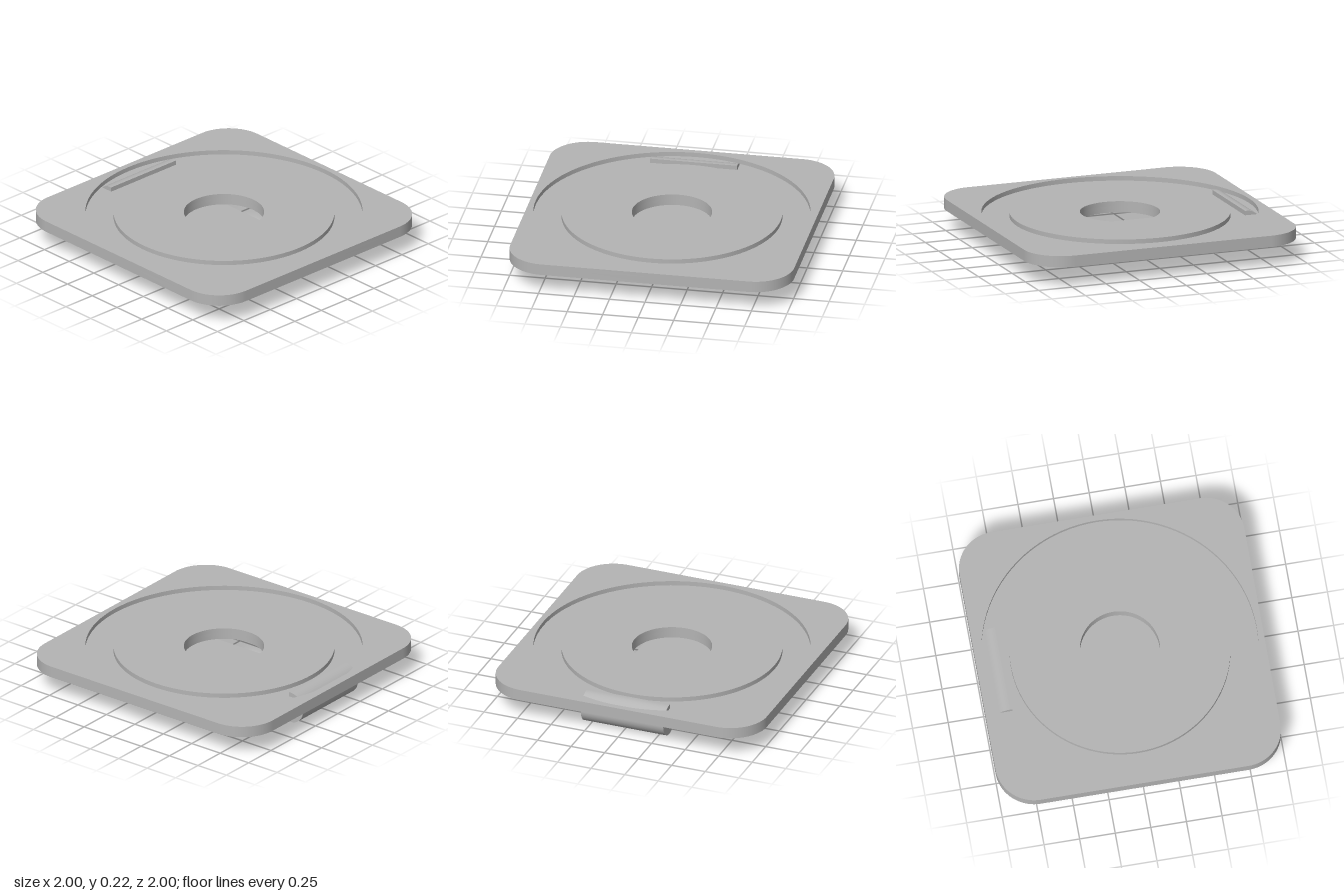
import * as THREE from 'three';
import { toCreasedNormals } from 'three/addons/utils/BufferGeometryUtils.js';

const HOLE_R = 0.278, DISC_R = 0.765, GROOVE_R = 0.96;
const BOTTOM = 0.144, FLOOR = 0.192, TOP = 0.224;

function extrude(shape, depth) {
  const geo = new THREE.ExtrudeGeometry(shape, { depth, bevelEnabled: false, curveSegments: 48 });
  return toCreasedNormals(geo, 0.5);
}

// Square outline with rounded corners
function roundedSquare(half, r) {
  const s = new THREE.Shape(), c = half - r;
  [[c, c], [-c, c], [-c, -c], [c, -c]].forEach(([x, y], i) =>
    s.absarc(x, y, r, i * Math.PI / 2, (i + 1) * Math.PI / 2, false));
  s.closePath();
  return s;
}

function circle(r) {
  return new THREE.Shape().absarc(0, 0, r, 0, Math.PI * 2, false);
}

// Flat layer with a round hole, lying between two heights
function layer(name, shape, holeR, y0, y1, material) {
  shape.holes.push(circle(holeR));
  const geo = extrude(shape, y1 - y0);
  geo.rotateX(-Math.PI / 2).translate(0, y0, 0);
  const mesh = new THREE.Mesh(geo, material);
  mesh.name = name;
  return mesh;
}

export function createModel() {
  const model = new THREE.Group();
  model.name = 'plateWithClip';
  const grey = new THREE.MeshStandardMaterial({ color: 0xb4b4b4 });
  grey.name = 'grey';

  // Plate: base, raised border and raised centre disc leave a ring groove
  const plate = new THREE.Group();
  plate.name = 'plate';
  plate.add(
    layer('plateBase', roundedSquare(1, 0.27), HOLE_R, BOTTOM, FLOOR, grey),
    layer('plateBorder', roundedSquare(1, 0.27), GROOVE_R, FLOOR, TOP, grey),
    layer('centreDisc', circle(DISC_R), HOLE_R, FLOOR, TOP, grey)
  );
  model.add(plate);

  // Clip side profile (z, y): rounded tip, flat bar, bend that passes through the plate
  const bz = -0.822, by = 0.112, outerR = 0.112, innerR = 0.05;
  const barTop = 0.07, barBottom = 0.01;
  const p = new THREE.Shape();
  p.moveTo(0.693, barBottom);
  p.absarc(0.66, 0.078, 0.033, 0, Math.PI, false);
  p.lineTo(0.62, barTop);
  p.absarc(bz, by, innerR, Math.PI + Math.asin((by - barTop) / innerR), Math.PI / 2, true);
  p.lineTo(-0.81, by + innerR);
  p.lineTo(-0.81, TOP);
  p.absarc(bz, by, outerR, Math.PI / 2, Math.PI * 2 - Math.asin((by - barBottom) / outerR), false);
  p.closePath();
  const clipGeo = extrude(p, 0.615);
  clipGeo.rotateY(-Math.PI / 2).translate(0.305, 0, 0);
  const clip = new THREE.Mesh(clipGeo, grey);
  clip.name = 'beltClip';
  model.add(clip);

  return model;
}
